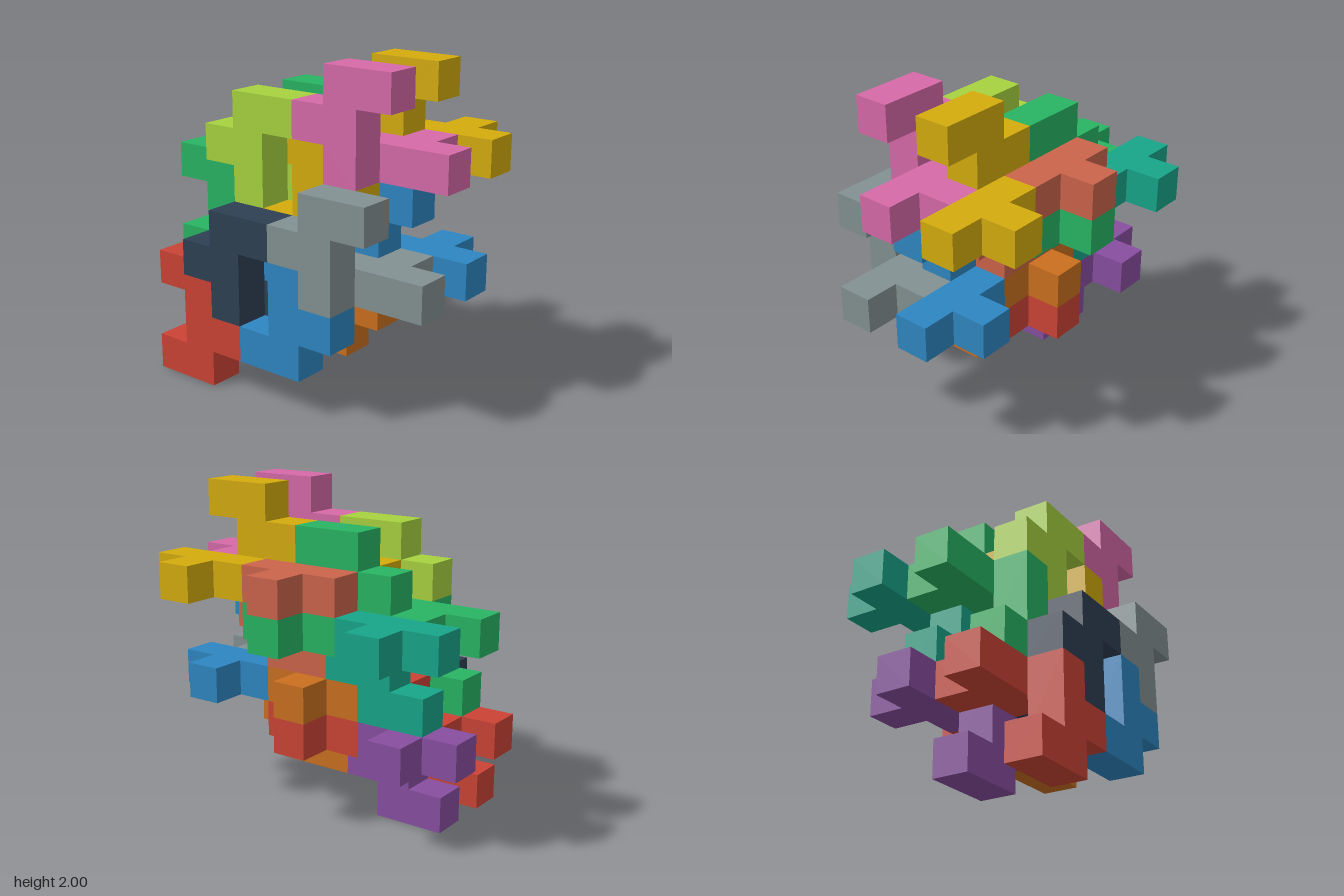
import * as THREE from 'three';
import { mergeGeometries } from 'three/addons/utils/BufferGeometryUtils.js';

const U = 2 / 9; // edge of one cube cell

const extrude = (points) => new THREE.ExtrudeGeometry(
  new THREE.Shape(points.map(([a, b]) => new THREE.Vector2(a, b))),
  { depth: 1, bevelEnabled: false });

// One puzzle piece in cell units: a flat T with a zigzag arm rising beside it
function pieceGeometry() {
  const tee = extrude([[-0.5, -1.5], [0.5, -1.5], [0.5, -0.5], [1.5, -0.5],
    [1.5, 0.5], [0.5, 0.5], [0.5, 1.5], [-0.5, 1.5]]);
  tee.rotateX(Math.PI / 2).translate(0, 0.5, 0);

  const arm = extrude([[-1.5, -0.5], [-0.5, -0.5], [-0.5, 1.5], [0.5, 1.5], [0.5, 2.5],
    [-1.5, 2.5], [-1.5, 1.5], [-2.5, 1.5], [-2.5, 0.5], [-1.5, 0.5]]);
  arm.rotateY(-Math.PI / 2).translate(-0.5, 0, 0);

  return mergeGeometries([tee, arm]).scale(U, U, U);
}

const COLORS = {
  yellow: 0xd4ac0d, salmon: 0xcb644b, teal: 0x17a589, green: 0x28b463,
  pink: 0xd669a9, lime: 0xa8d23f, blue: 0x2e86c1, orange: 0xca6f1e,
  red: 0xcb4335, purple: 0x884ea0, grey: 0x839192, dark: 0x2e4053,
};

// Cell of the T's centre (x, y, z); the arm points up or, turned over, down
const PIECES = [
  ['yellow', 4, 6, 7, 'up'], ['salmon', 4, 6, 4, 'down'],
  ['green', 4, 5, 4, 'up'], ['teal', 4, 5, 1, 'down'],
  ['pink', 2, 6, 7, 'up'], ['yellow', 2, 6, 4, 'down'],
  ['lime', 2, 5, 4, 'up'], ['green', 2, 5, 1, 'down'],
  ['blue', 3, 3, 7, 'up'], ['orange', 3, 3, 4, 'down'],
  ['red', 3, 2, 4, 'up'], ['purple', 3, 2, 1, 'down'],
  ['grey', 1, 3, 7, 'up'], ['blue', 1, 3, 4, 'down'],
  ['dark', 1, 2, 4, 'up'], ['red', 1, 2, 1, 'down'],
];

export function createModel() {
  const model = new THREE.Group();
  model.name = 'interlockingCubePieces';
  const geometry = pieceGeometry();

  for (const [color, i, j, k, arm] of PIECES) {
    const piece = new THREE.Mesh(geometry,
      new THREE.MeshStandardMaterial({ color: COLORS[color] }));
    piece.name = `${color}Piece${arm === 'up' ? 'Up' : 'Down'}`;
    piece.position.set((i - 2.5) * U, (j + 0.5) * U, (k - 4) * U);
    if (arm === 'down') piece.rotation.x = Math.PI;
    model.add(piece);
  }
  return model;
}
